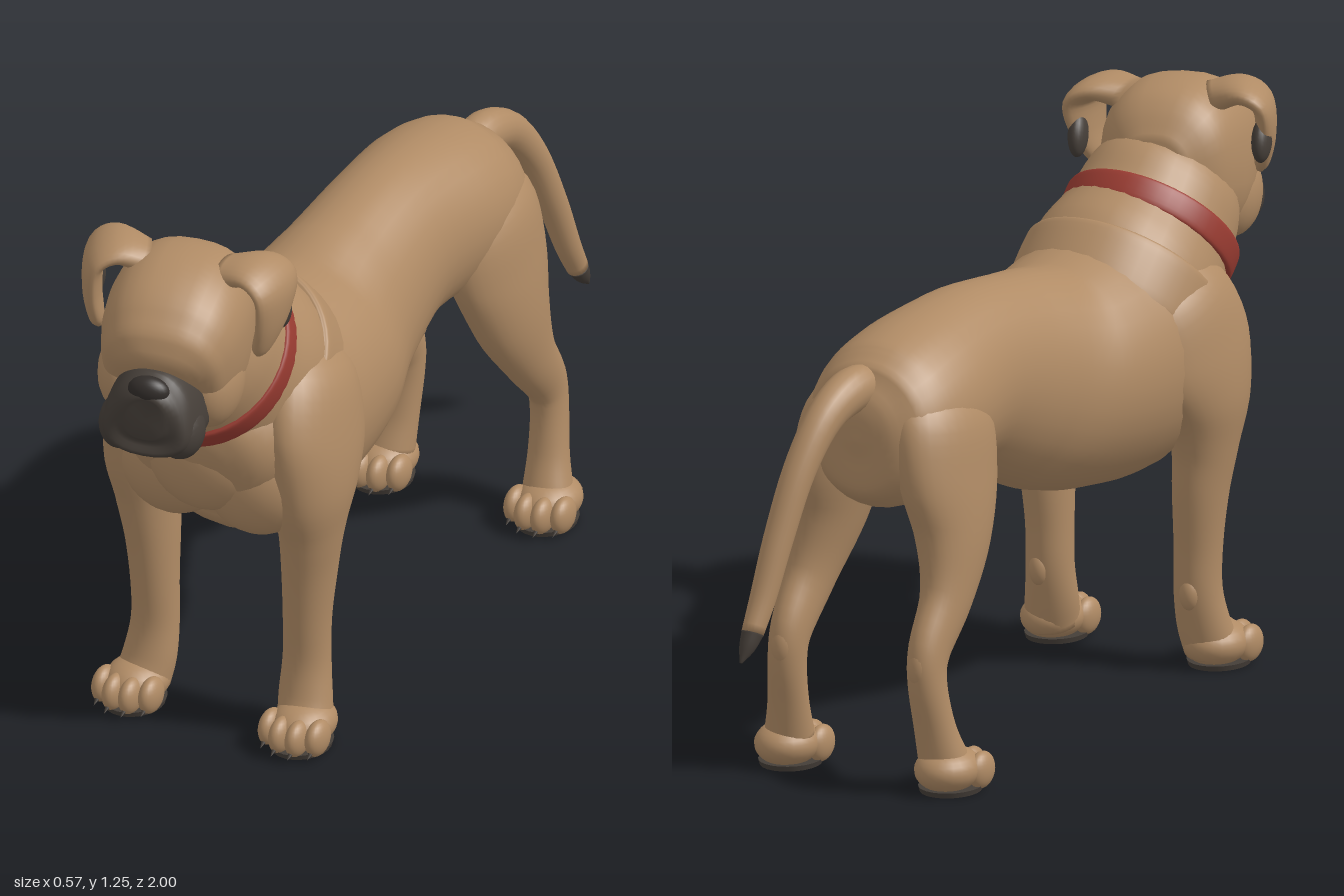
import * as THREE from 'three';

const mat = (name, color) => Object.assign(new THREE.MeshStandardMaterial({ color }), { name });
const fawn = mat('fawn coat', 0xb08b65);
const dark = mat('dark mask', 0x453e38);
const black = mat('black nose and eyes', 0x322d2a);
const red = mat('red collar', 0x983b31);

const X = new THREE.Vector3(1, 0, 0);

// Smooth closed skin through rings [x, y, z, halfWidth, halfHeight, topWidening]
function loft(name, material, rings, { side = X, square = 1, steps = 5, sides = 32 } = {}) {
  const V = (a, b, c) => new THREE.Vector3(a, b, c);
  const path = new THREE.CatmullRomCurve3(rings.map(r => V(r[0], r[1], r[2])), false, 'catmullrom');
  const size = new THREE.CatmullRomCurve3(rings.map(r => V(r[3], r[4], r[5] || 0)), false, 'catmullrom');
  const n = (rings.length - 1) * steps, pos = [], idx = [];
  const bend = v => Math.sign(v) * Math.pow(Math.abs(v), square);
  for (let i = 0; i <= n; i++) {
    const c = path.getPoint(i / n), s = size.getPoint(i / n);
    const up = path.getTangent(i / n).cross(side).normalize();
    for (let j = 0; j < sides; j++) {
      const t = (j / sides) * Math.PI * 2, h = bend(Math.sin(t));
      const w = bend(Math.cos(t)) * (1 + s.z * h);
      const p = c.clone().addScaledVector(side, w * Math.max(s.x, 0.002))
        .addScaledVector(up, h * Math.max(s.y, 0.002));
      pos.push(p.x, p.y, p.z);
      if (i < n) {
        const a = i * sides + j, b = i * sides + (j + 1) % sides;
        idx.push(a, b, a + sides, b, b + sides, a + sides);
      }
    }
  }
  const first = pos.length / 3, last = first + 1;
  pos.push(...path.getPoint(0).toArray(), ...path.getPoint(1).toArray());
  for (let j = 0; j < sides; j++) {
    const k = (j + 1) % sides;
    idx.push(first, k, j, last, n * sides + j, n * sides + k);
  }
  const g = new THREE.BufferGeometry();
  g.setAttribute('position', new THREE.Float32BufferAttribute(pos, 3));
  g.setIndex(idx);
  g.computeVertexNormals();
  const m = new THREE.Mesh(g, material);
  m.name = name;
  return m;
}

const sphere = new THREE.SphereGeometry(1, 24, 16);
function ball(name, material, p, r, rot = [0, 0, 0]) {
  const m = new THREE.Mesh(sphere, material);
  m.name = name;
  m.position.set(...p);
  m.scale.set(...r);
  m.rotation.set(...rot);
  return m;
}

const mirror = (rings, s) => rings.map(([x, ...rest]) => [x * s, ...rest]);

function paw(name, x, z) {
  const g = new THREE.Group();
  g.name = name;
  g.position.set(x, 0, z);
  g.add(ball('pawTop', fawn, [0, 0.05, -0.005], [0.07, 0.05, 0.083]));
  [-0.057, -0.02, 0.02, 0.057].forEach((tx, i) => {
    const tz = i === 1 || i === 2 ? 0.062 : 0.04;
    g.add(ball('toe', fawn, [tx, 0.044, tz], [0.023, 0.041, 0.043]));
    const claw = new THREE.Mesh(new THREE.ConeGeometry(0.009, 0.03, 8), dark);
    claw.name = 'claw';
    claw.position.set(tx, 0.02, tz + 0.036);
    claw.rotation.x = 2.1;
    g.add(claw);
  });
  const sole = new THREE.Mesh(new THREE.CylinderGeometry(1, 0.95, 0.012, 24), dark);
  sole.name = 'solePad';
  sole.scale.set(0.068, 1, 0.08);
  sole.position.set(0, 0.006, 0.008);
  g.add(sole);
  return g;
}

function buildHead() {
  const head = new THREE.Group();
  head.name = 'head';
  head.position.set(-0.008, 1.05, 0.68);
  head.rotation.set(0, 0.22, -0.06);
  head.add(loft('skull', fawn, [
    [0, 0.01, -0.13, 0.07, 0.08], [0, 0.01, -0.07, 0.135, 0.15], [0, 0.01, 0.02, 0.158, 0.182],
    [0, -0.004, 0.1, 0.158, 0.18], [0, -0.025, 0.165, 0.142, 0.155], [0, -0.04, 0.2, 0.115, 0.122],
    [0, -0.05, 0.216, 0.05, 0.06],
  ], { square: 0.8 }));
  head.add(loft('muzzle', dark, [
    [0, -0.09, 0.12, 0.1, 0.095, -0.25], [0, -0.09, 0.2, 0.106, 0.1, -0.25],
    [0, -0.087, 0.27, 0.1, 0.097, -0.25], [0, -0.08, 0.308, 0.08, 0.08, -0.25],
    [0, -0.08, 0.322, 0.04, 0.045, -0.2],
  ], { square: 0.85 }));
  head.add(ball('nose', black, [0, -0.016, 0.298], [0.046, 0.032, 0.028]));
  head.add(ball('chin', dark, [0, -0.17, 0.245], [0.055, 0.025, 0.05]));
  for (const s of [1, -1]) {
    head.add(ball('flew', dark, [s * 0.062, -0.125, 0.245], [0.054, 0.068, 0.068], [0, 0, s * 0.2]));
    head.add(ball('eyePatch', dark, [s * 0.085, 0.038, 0.198], [0.046, 0.027, 0.024], [0, s * 0.4, -s * 0.25]));
    head.add(ball('eye', black, [s * 0.083, 0.038, 0.213], [0.018, 0.015, 0.014]));
    head.add(ball('brow', fawn, [s * 0.078, 0.078, 0.176], [0.055, 0.022, 0.03], [0, s * 0.4, -s * 0.3]));
    head.add(ball('cheek', fawn, [s * 0.095, -0.08, 0.1], [0.065, 0.1, 0.1]));
    // Ear folds outward from the crown, then hangs down with its front edge close to the head
    head.add(loft('ear', fawn, mirror([
      [0.09, 0.15, 0.025, 0.055, 0.035], [0.155, 0.168, 0.025, 0.078, 0.028], [0.2, 0.14, 0.035, 0.085, 0.024],
      [0.202, 0.07, 0.045, 0.066, 0.022], [0.186, 0.005, 0.055, 0.036, 0.018], [0.178, -0.02, 0.055, 0.01, 0.007],
    ], s), { side: new THREE.Vector3(-0.25 * s, 0, 0.968), sides: 24 }));
    head.add(ball('earLining', dark, [s * 0.208, 0.065, -0.005], [0.021, 0.05, 0.034], [0.45, 0, 0]));
  }
  return head;
}

export function createModel() {
  const dog = new THREE.Group();
  dog.name = 'dog';

  dog.add(loft('body', fawn, [
    [0, 0.77, -0.64, 0.01, 0.01], [0, 0.77, -0.63, 0.09, 0.1], [0, 0.768, -0.59, 0.148, 0.155],
    [0, 0.772, -0.52, 0.175, 0.182], [0, 0.795, -0.4, 0.182, 0.19], [0, 0.8, -0.2, 0.163, 0.2],
    [0, 0.75, 0, 0.182, 0.23], [0, 0.71, 0.15, 0.225, 0.247], [0, 0.703, 0.3, 0.242, 0.268],
    [0, 0.71, 0.42, 0.242, 0.278], [0, 0.715, 0.52, 0.23, 0.245], [0, 0.71, 0.6, 0.205, 0.195],
    [0, 0.69, 0.665, 0.14, 0.13], [0, 0.68, 0.69, 0.03, 0.03],
  ]));

  // Neck, loose skin and collar share one sloping axis
  dog.add(loft('neck', fawn, [
    [0, 0.74, 0.32, 0.2, 0.19], [0, 0.84, 0.48, 0.215, 0.226], [0, 0.93, 0.59, 0.186, 0.2],
    [0, 1.0, 0.66, 0.17, 0.185], [0, 1.06, 0.72, 0.13, 0.14],
  ]));
  const band = (name, m, y, z, a, b, h, inset) => loft(name, m, [-1, -0.75, 0.75, 1].map((t, i) =>
    [-0.006, y + t * h, z + t * h, a - (i % 3 ? 0 : inset), b - (i % 3 ? 0 : inset)]), { sides: 48 });
  dog.add(band('collar', red, 0.927, 0.587, 0.196, 0.21, 0.023, 0.012));
  dog.add(band('skinFold', fawn, 0.815, 0.435, 0.224, 0.229, 0.05, 0.012));

  for (const s of [1, -1]) {
    const tag = s > 0 ? 'left' : 'right';
    dog.add(ball('chestMuscle', fawn, [s * 0.1, 0.635, 0.55], [0.13, 0.135, 0.11]));
    dog.add(loft(tag + 'FrontLeg', fawn, mirror([
      [0.11, 0.93, 0.4, 0.05, 0.08], [0.155, 0.85, 0.425, 0.085, 0.15], [0.19, 0.73, 0.465, 0.084, 0.175],
      [0.205, 0.61, 0.492, 0.078, 0.135], [0.2, 0.5, 0.495, 0.066, 0.092], [0.192, 0.4, 0.49, 0.058, 0.074],
      [0.186, 0.28, 0.49, 0.052, 0.058], [0.185, 0.18, 0.49, 0.053, 0.053], [0.19, 0.1, 0.505, 0.06, 0.054],
      [0.2, 0.04, 0.525, 0.063, 0.06],
    ], s)));
    dog.add(ball('wristPad', fawn, [s * 0.188, 0.175, 0.452], [0.024, 0.038, 0.024]));
    dog.add(paw(tag + 'FrontPaw', s * 0.203, 0.542));

    dog.add(loft(tag + 'HindLeg', fawn, mirror([
      [0.07, 0.89, -0.45, 0.05, 0.08], [0.105, 0.8, -0.46, 0.085, 0.155], [0.132, 0.67, -0.475, 0.082, 0.16],
      [0.155, 0.54, -0.495, 0.07, 0.117], [0.17, 0.42, -0.545, 0.052, 0.075], [0.172, 0.32, -0.618, 0.042, 0.058],
      [0.175, 0.25, -0.632, 0.041, 0.047], [0.183, 0.15, -0.615, 0.046, 0.043], [0.195, 0.06, -0.59, 0.058, 0.054],
    ], s)));
    dog.add(ball('hock', fawn, [s * 0.172, 0.285, -0.65], [0.03, 0.055, 0.034]));
    dog.add(paw(tag + 'HindPaw', s * 0.2, -0.582));
    dog.add(ball('testicle', fawn, [s * 0.022, 0.58, -0.275], [0.036, 0.046, 0.06], [-0.3, 0, 0]));
  }
  dog.add(ball('breastbone', fawn, [0, 0.7, 0.605], [0.14, 0.14, 0.1]));
  dog.add(ball('sheath', fawn, [0, 0.615, -0.21], [0.035, 0.03, 0.1], [0.2, 0, 0]));

  dog.add(loft('tail', fawn, [
    [0.008, 0.86, -0.53, 0.04, 0.045], [0.015, 0.876, -0.63, 0.047, 0.05], [0.025, 0.835, -0.73, 0.04, 0.043],
    [0.04, 0.735, -0.81, 0.036, 0.037], [0.055, 0.6, -0.87, 0.033, 0.034], [0.065, 0.48, -0.917, 0.029, 0.03],
    [0.07, 0.405, -0.955, 0.024, 0.026],
  ], { sides: 20 }));
  dog.add(loft('tailTip', dark, [
    [0.07, 0.407, -0.954, 0.024, 0.026], [0.073, 0.375, -0.974, 0.017, 0.018], [0.076, 0.347, -0.994, 0.003, 0.003],
  ], { sides: 20 }));

  dog.add(buildHead());
  return dog;
}
